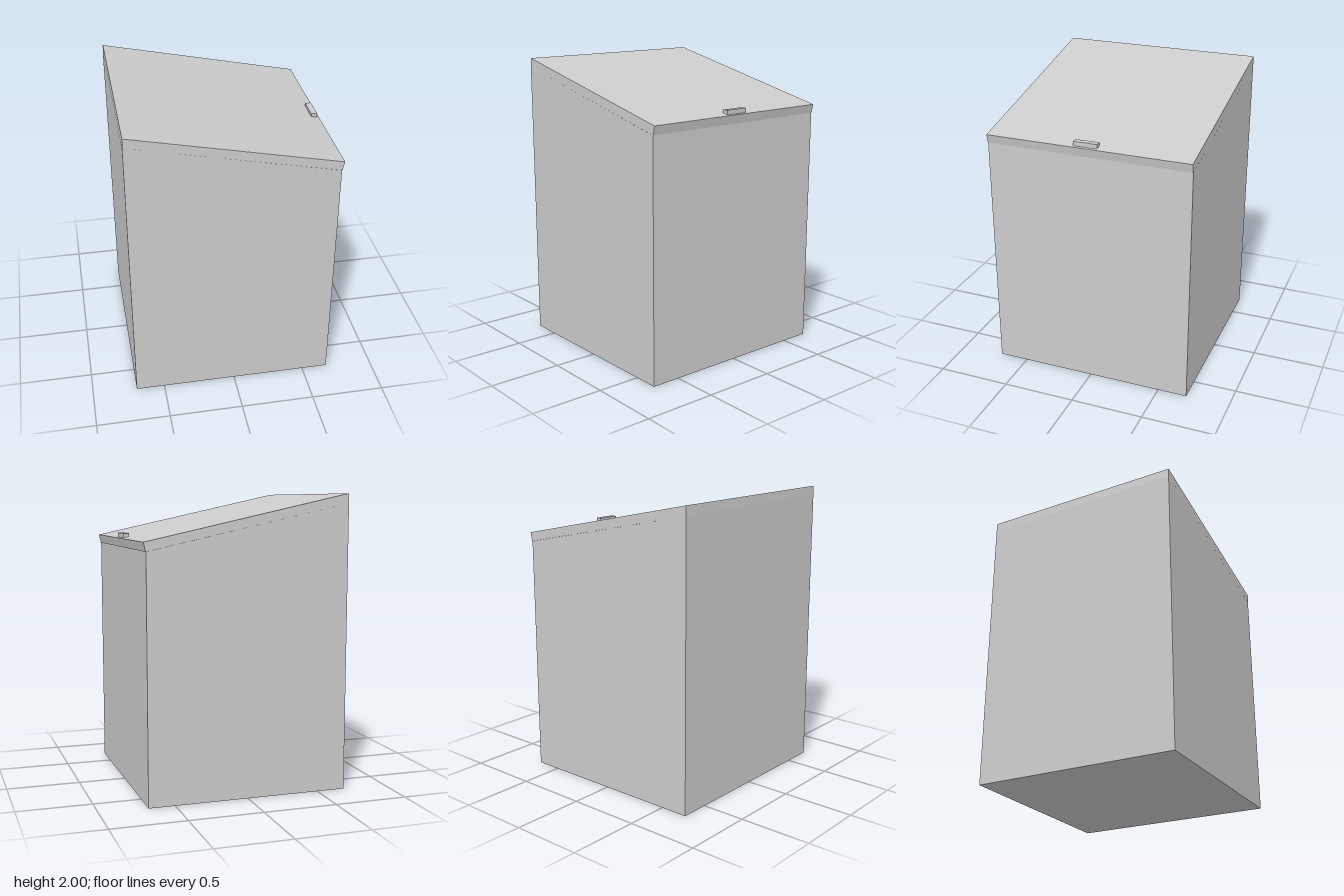
import * as THREE from 'three';

const DEPTH = 1.404; // full width along z

export function createModel() {
  const group = new THREE.Group();
  const material = new THREE.MeshStandardMaterial({ color: 0xcccccc, flatShading: true });

  // Extrude an x/y outline across the full z width
  const addProfile = (name, points) => {
    const shape = new THREE.Shape(points.map(([x, y]) => new THREE.Vector2(x, y)));
    const geometry = new THREE.ExtrudeGeometry(shape, { depth: DEPTH, bevelEnabled: false });
    geometry.translate(0, 0, -DEPTH / 2);
    const mesh = new THREE.Mesh(geometry, material);
    mesh.name = name;
    group.add(mesh);
  };

  // Bin body with a sloping rim
  addProfile('body', [[-0.695, 0], [0.678, 0], [0.678, 1.64], [-0.695, 1.937]]);

  // Tilted lid, its front edge overhanging the body slightly
  addProfile('lid', [[-0.695, 1.937], [0.681, 1.64], [0.694, 1.7], [-0.692, 2]]);

  // Small handle block near the low edge of the lid
  const handle = new THREE.Mesh(new THREE.BoxGeometry(0.04, 0.033, 0.163), material);
  handle.position.set(0.658, 1.717, 0.011);
  handle.name = 'handle';
  group.add(handle);

  return group;
}
